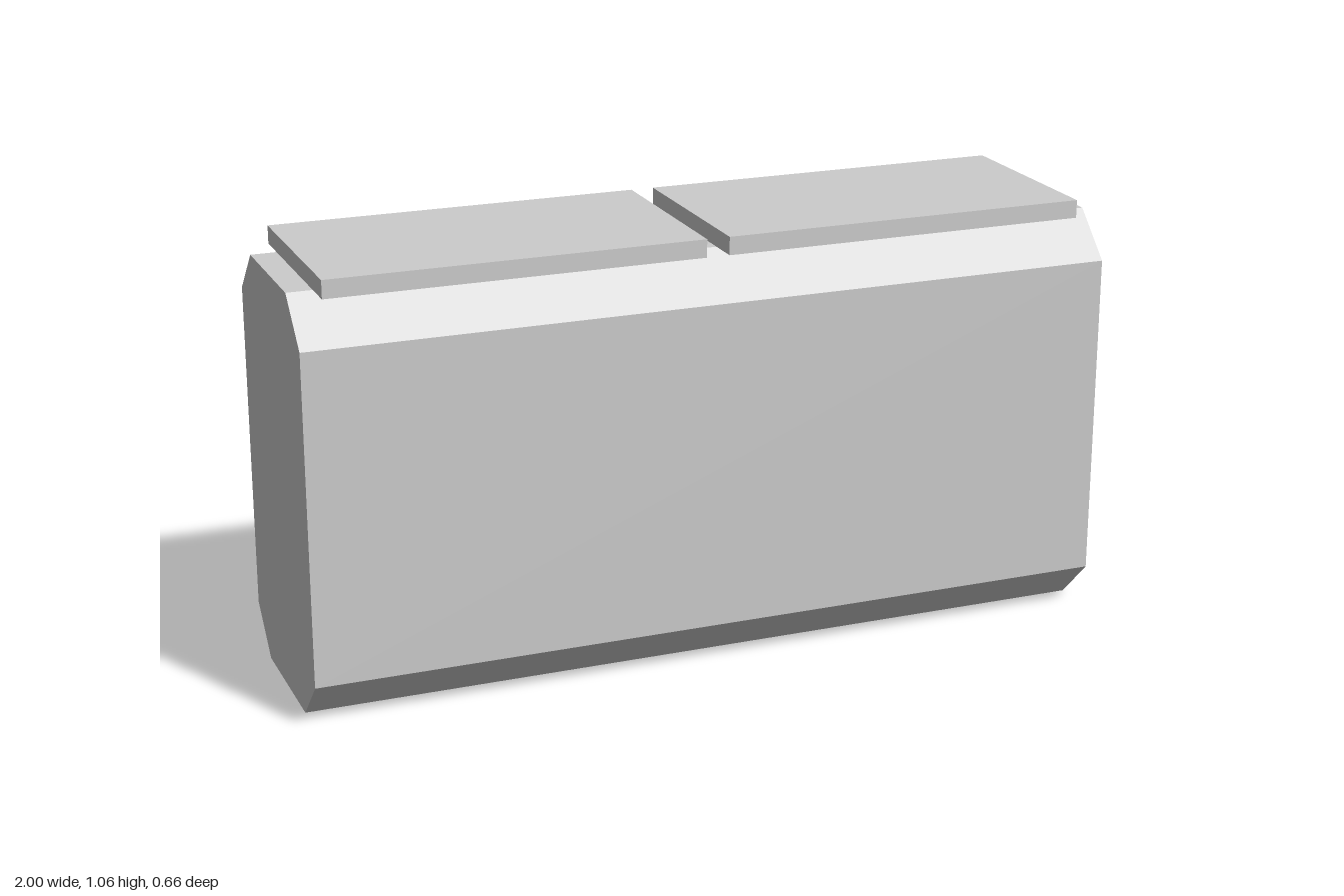
import * as THREE from 'three';

export function createModel() {
  const group = new THREE.Group();
  const grey = new THREE.MeshStandardMaterial({ color: 0xcccccc });
  grey.name = 'light grey';

  const add = (name, geometry, x = 0, y = 0, z = 0) => {
    const mesh = new THREE.Mesh(geometry, grey);
    mesh.name = name;
    mesh.position.set(x, y, z);
    group.add(mesh);
  };

  // Long case with a chamfered section: shape x runs along -z, extruded along x
  const front = -0.333, back = 0.213, top = 1.017, c = 0.107;
  const section = new THREE.Shape([
    [front + c, 0], [back - c, 0], [back, c], [back, top - c],
    [back - c, top], [front + c, top], [front, top - c], [front, c],
  ].map(([u, v]) => new THREE.Vector2(u, v)));
  const body = new THREE.ExtrudeGeometry(section, { depth: 2, bevelEnabled: false });
  body.rotateY(Math.PI / 2);
  add('body', body, -1);

  // Two flat lids on top
  for (const side of [-1, 1]) {
    add(side > 0 ? 'leftLid' : 'rightLid',
      new THREE.BoxGeometry(0.91, 0.044, 0.49), side * 0.483, 1.039, 0.06);
  }

  // Raised slats across the back
  for (let i = 0; i < 5; i++) {
    add('backSlat', new THREE.BoxGeometry(1.366, 0.045, 0.02), 0, 0.289 + i * 0.1217, -0.211);
  }

  // Small badge plate above the slats
  add('backPlate', new THREE.BoxGeometry(0.078, 0.045, 0.02), 0.753, 0.865, -0.213);

  // Six-sided carrying handle: one bar and two posts
  const r = 0.0265, handleY = 0.44;
  const bar = new THREE.CylinderGeometry(r, r, 1.06, 6);
  bar.rotateZ(Math.PI / 2);
  add('handleBar', bar, 0, handleY, -0.304);
  for (const side of [-1, 1]) {
    const post = new THREE.CylinderGeometry(r, r, 0.076, 6, 1, false, Math.PI / 2);
    post.rotateX(Math.PI / 2);
    add(side > 0 ? 'leftHandlePost' : 'rightHandlePost', post, side * 0.53, handleY, -0.2675);
  }

  return group;
}
